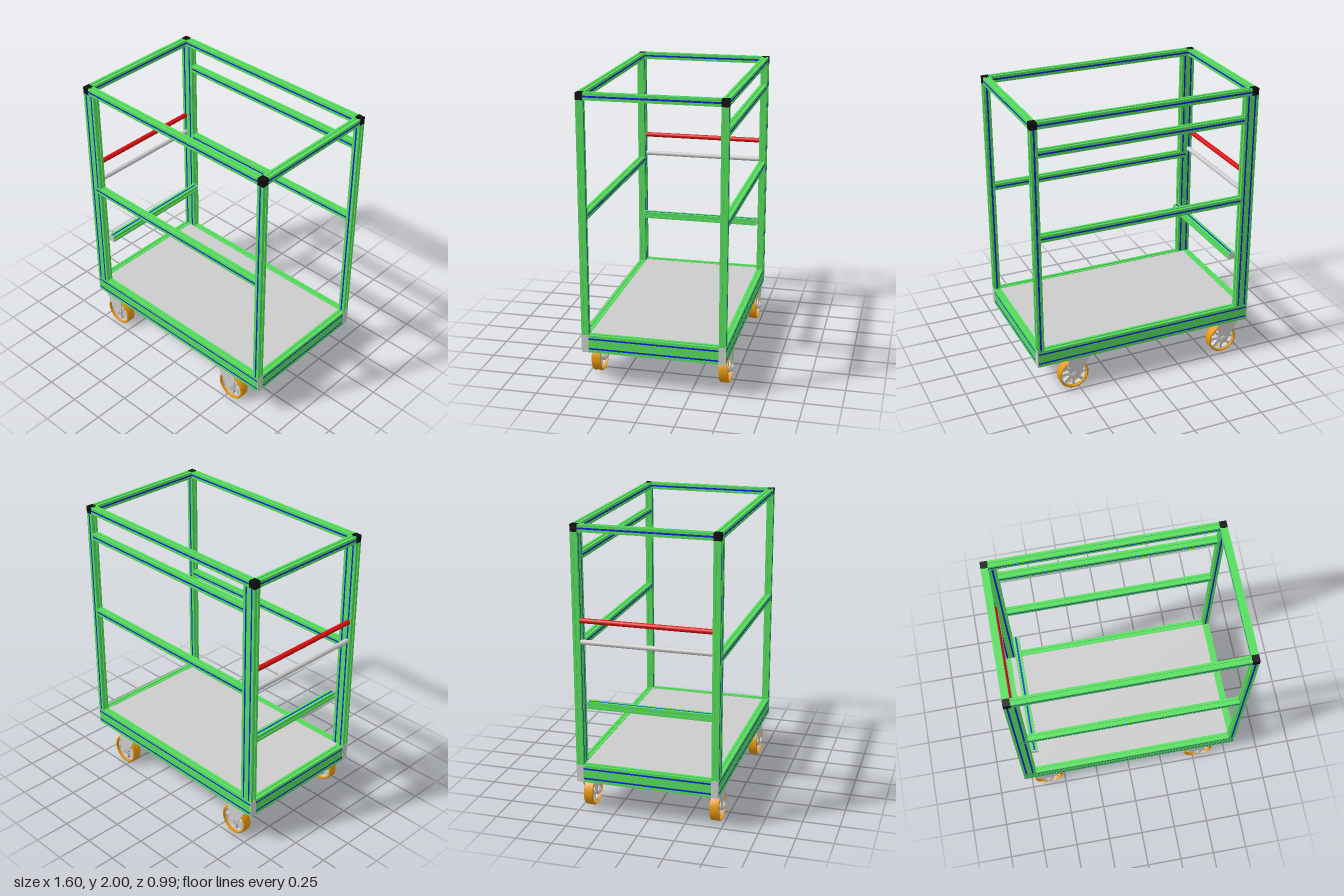
import * as THREE from 'three';

const mat = (color, side = THREE.FrontSide) => new THREE.MeshStandardMaterial({ color, side });
const green = mat(0x55dd5c), blue = mat(0x1020e0), grey = mat(0xcccccc);
const red = mat(0xdd1010), orange = mat(0xe8980c), black = mat(0x101010);

const S = 0.048;              // profile size
const X = 0.8 - S / 2;        // corner post centre lines
const Z = 0.49 - S / 2;
const SLOT = 0.012, DEPTH = 0.006;

function add(parent, name, geometry, material, x = 0, y = 0, z = 0) {
  const mesh = new THREE.Mesh(geometry, material);
  mesh.name = name;
  mesh.position.set(x, y, z);
  parent.add(mesh);
  return mesh;
}
const box = (w, h, d) => new THREE.BoxGeometry(w, h, d);

// Outline of a slotted profile: one slot top and bottom, a list of slots on the sides
function profileShape(w, h, sideSlots) {
  const a = w / 2, b = h / 2, s = SLOT / 2, pts = [];
  pts.push([-a, -b], [-s, -b], [-s, -b + DEPTH], [s, -b + DEPTH], [s, -b], [a, -b]);
  for (const c of sideSlots) pts.push([a, c - s], [a - DEPTH, c - s], [a - DEPTH, c + s], [a, c + s]);
  pts.push([a, b], [s, b], [s, b - DEPTH], [-s, b - DEPTH], [-s, b], [-a, b]);
  for (const c of [...sideSlots].reverse()) pts.push([-a, c + s], [-a + DEPTH, c + s], [-a + DEPTH, c - s], [-a, c - s]);
  return new THREE.Shape(pts.map(p => new THREE.Vector2(...p)));
}

// Slotted beam between two coordinates on an axis; inserts fill the slots on its 'sides' or 'caps'
function beam(parent, name, axis, from, to, centre, inserts = 'sides', h = S, sideSlots = [0]) {
  const length = to - from, g = new THREE.Group();
  g.name = name;
  const body = new THREE.ExtrudeGeometry(profileShape(S, h, sideSlots), { depth: length, bevelEnabled: false });
  add(g, 'profile', body.translate(0, 0, -length / 2), green);
  const t = DEPTH - 0.001;
  for (const s of [-1, 1]) {
    if (inserts === 'sides') {
      for (const c of sideSlots) add(g, 'slotInsert', box(t, SLOT, length - 0.001), blue, s * (S / 2 - DEPTH + t / 2), c, 0);
    } else {
      add(g, 'slotInsert', box(SLOT, t, length - 0.001), blue, 0, s * (h / 2 - DEPTH + t / 2), 0);
    }
  }
  g.position.set(...centre);
  g.position[axis] = (from + to) / 2;
  if (axis === 'x') g.rotation.y = Math.PI / 2;
  if (axis === 'y') g.rotation.x = -Math.PI / 2;
  parent.add(g);
}

// Wheel disc with eight windows between the spokes
function wheelDisc() {
  const shape = new THREE.Shape().absarc(0, 0, 0.096, 0, Math.PI * 2);
  for (let i = 0; i < 8; i++) {
    const a = i * Math.PI / 4, hole = new THREE.Path();
    hole.absarc(0, 0, 0.089, a + 0.1, a + Math.PI / 4 - 0.1, false);
    hole.absarc(0, 0, 0.038, a + Math.PI / 4 - 0.22, a + 0.22, true);
    hole.closePath();
    shape.holes.push(hole);
  }
  return new THREE.ExtrudeGeometry(shape, { depth: 0.03, bevelEnabled: false, curveSegments: 24 }).translate(0, 0, -0.015);
}

// Fork cheek: wide at the top, rounded about the axle
function forkCheek() {
  const s = new THREE.Shape();
  s.moveTo(-0.115, 0.125);
  s.lineTo(-0.033, -0.012);
  s.absarc(0, 0, 0.035, Math.PI + 0.35, Math.PI * 2, false);
  s.lineTo(0.045, 0.125);
  s.closePath();
  return new THREE.ExtrudeGeometry(s, { depth: 0.005, bevelEnabled: false }).translate(0, 0, -0.0025);
}

function caster(x, z) {
  const g = new THREE.Group();
  g.name = 'caster';
  g.position.set(x, 0.108, z);
  const tyre = [[0.094, -0.033], [0.102, -0.033], [0.107, -0.027], [0.107, 0.027], [0.102, 0.033], [0.094, 0.033], [0.094, -0.033]];
  const tyreGeo = new THREE.LatheGeometry(tyre.map(p => new THREE.Vector2(...p)), 48);
  add(g, 'tyre', tyreGeo.rotateX(Math.PI / 2), orange);
  add(g, 'wheelDisc', wheelDisc(), grey);
  add(g, 'hub', new THREE.CylinderGeometry(0.032, 0.032, 0.066, 24).rotateX(Math.PI / 2), grey);
  add(g, 'axle', new THREE.CylinderGeometry(0.014, 0.014, 0.108, 16).rotateX(Math.PI / 2), grey);
  for (const s of [-1, 1]) {
    add(g, 'forkCheek', forkCheek(), grey, 0, 0, s * 0.038);
    add(g, 'axleNut', new THREE.CylinderGeometry(0.028, 0.028, 0.009, 6).rotateX(Math.PI / 2), grey, 0, 0, s * 0.045);
  }
  add(g, 'forkTop', box(0.16, 0.014, 0.081), grey, -0.035, 0.125, 0);
  return g;
}

export function createModel() {
  const model = new THREE.Group();
  model.name = 'trolley';
  const inX = 0.8 - S, inZ = 0.49 - S;
  const base = 0.362, topY = 2 - S / 2, postTop = 2 - S;
  const innerX = -X + S;      // second post beside each post at the handle end

  // Base frame, deck and underside
  const baseY = 0.301, baseH = 0.122, slots = [-0.035, 0.035];
  for (const s of [-1, 1]) {
    beam(model, 'baseLongBeam', 'x', -0.796, 0.796, [0, baseY, s * Z], 'sides', baseH, slots);
    beam(model, 'baseEndBeam', 'z', -inZ, inZ, [s * X, baseY, 0], 'sides', baseH, slots);
    for (const e of [-1, 1]) add(model, 'beamEndCap', box(0.005, baseH, S), grey, e * 0.7985, baseY, s * Z);
  }
  add(model, 'deck', box(inX * 2, 0.02, inZ * 2), grey, 0, 0.349, 0);
  add(model, 'underside', box(inX * 2, 0.012, inZ * 2), green, 0, 0.247, 0);

  // Corner posts, top rails and corner connectors
  for (const s of [-1, 1]) {
    for (const e of [-1, 1]) {
      beam(model, 'cornerPost', 'y', base, postTop, [e * X, 0, s * Z], 'caps');
      add(model, 'cornerConnector', box(S, S, S), black, e * X, topY, s * Z);
    }
    beam(model, 'topLongRail', 'x', -inX, inX, [0, topY, s * Z]);
    beam(model, 'topEndRail', 'z', -inZ, inZ, [s * X, topY, 0]);
  }

  // Second posts; the front one is split by the front rail
  const frontRailY = 1.18;
  beam(model, 'backInnerPost', 'y', base, postTop, [innerX, 0, -Z], 'caps');
  beam(model, 'frontInnerPostLower', 'y', base, frontRailY - S / 2, [innerX, 0, Z], 'caps');
  beam(model, 'frontInnerPostUpper', 'y', frontRailY + S / 2, postTop, [innerX, 0, Z], 'caps');

  // Middle rails
  beam(model, 'frontRail', 'x', -inX, inX, [0, frontRailY, Z]);
  beam(model, 'backMiddleRail', 'x', innerX + S / 2, inX, [0, 1.198, -Z]);
  beam(model, 'backUpperRail', 'x', innerX + S / 2, inX, [0, 1.785, -Z]);

  // Cross bar with end caps, and the two handle rods
  const barX = innerX + S, barY = 0.755;
  beam(model, 'crossBar', 'z', -inZ + 0.005, inZ - 0.005, [barX, barY, 0], 'caps');
  for (const s of [-1, 1]) add(model, 'crossBarCap', box(S, S, 0.005), grey, barX, barY, s * (inZ - 0.0025));
  const rod = () => new THREE.CylinderGeometry(0.017, 0.017, inZ * 2, 24).rotateX(Math.PI / 2);
  add(model, 'redHandle', rod(), red, -X, 1.367, 0);
  add(model, 'greyRod', rod(), grey, -X, 1.222, 0);

  // Casters
  for (const x of [-0.618, 0.535]) for (const s of [-1, 1]) model.add(caster(x, s * 0.443));
  return model;
}
